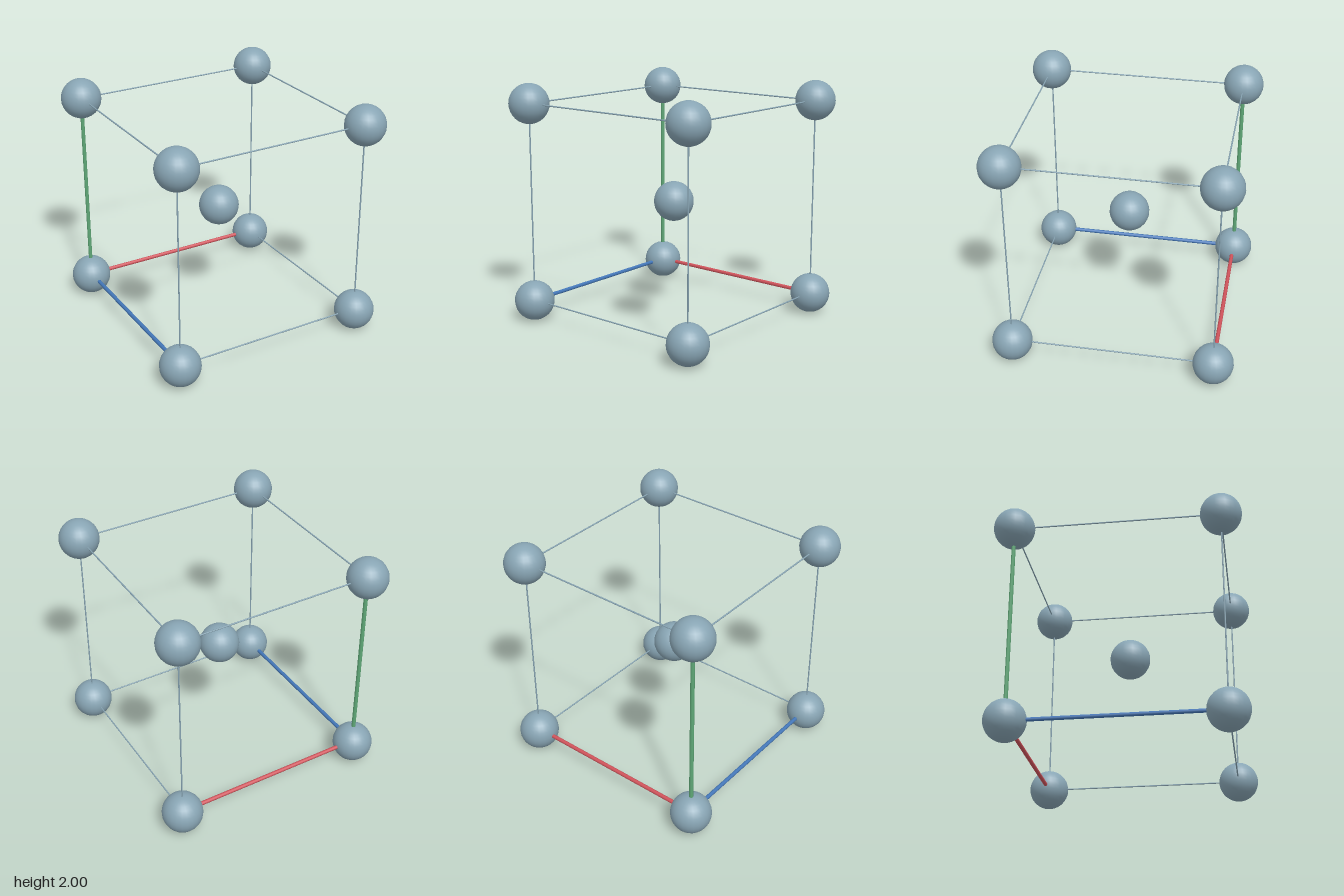
import * as THREE from 'three';

const HALF = 0.833; // half the cell edge
const MID = 1.0; // height of the cell centre

const paint = (name, color) => {
  const material = new THREE.MeshStandardMaterial({ color });
  material.name = name;
  return material;
};

export function createModel() {
  const model = new THREE.Group();
  model.name = 'bodyCentredCell';

  const atomGrey = paint('blue grey', 0x88a5b4);
  const axisPaint = [paint('red', 0xd2545c), paint('green', 0x5fa877), paint('blue', 0x4478ba)];
  const axisName = ['xAxisRod', 'yAxisRod', 'zAxisRod'];

  const ball = new THREE.SphereGeometry(0.1667, 24, 16);
  const thinRod = new THREE.CylinderGeometry(0.006, 0.006, 2 * HALF, 8);
  const thickRod = new THREE.CylinderGeometry(0.0167, 0.0167, 2 * HALF, 8);

  const add = (name, geometry, material, p) => {
    const mesh = new THREE.Mesh(geometry, material);
    mesh.name = name;
    mesh.position.set(p[0] * HALF, MID + p[1] * HALF, p[2] * HALF);
    model.add(mesh);
    return mesh;
  };

  // Atoms at the centre and the eight corners
  add('centreAtom', ball, atomGrey, [0, 0, 0]);
  for (const x of [-1, 1])
    for (const y of [-1, 1])
      for (const z of [-1, 1]) add('cornerAtom', ball, atomGrey, [x, y, z]);

  // Four edges along each axis; the one through the origin corner is thick and coloured
  for (let axis = 0; axis < 3; axis++) {
    for (const a of [-1, 1])
      for (const b of [-1, 1]) {
        const p = [0, 0, 0];
        p[(axis + 1) % 3] = a;
        p[(axis + 2) % 3] = b;
        const isAxis = a < 0 && b < 0;
        const rod = isAxis
          ? add(axisName[axis], thickRod, axisPaint[axis], p)
          : add('edgeRod', thinRod, atomGrey, p);
        if (axis === 0) rod.rotation.z = -Math.PI / 2;
        if (axis === 2) rod.rotation.x = Math.PI / 2;
      }
  }
  return model;
}
